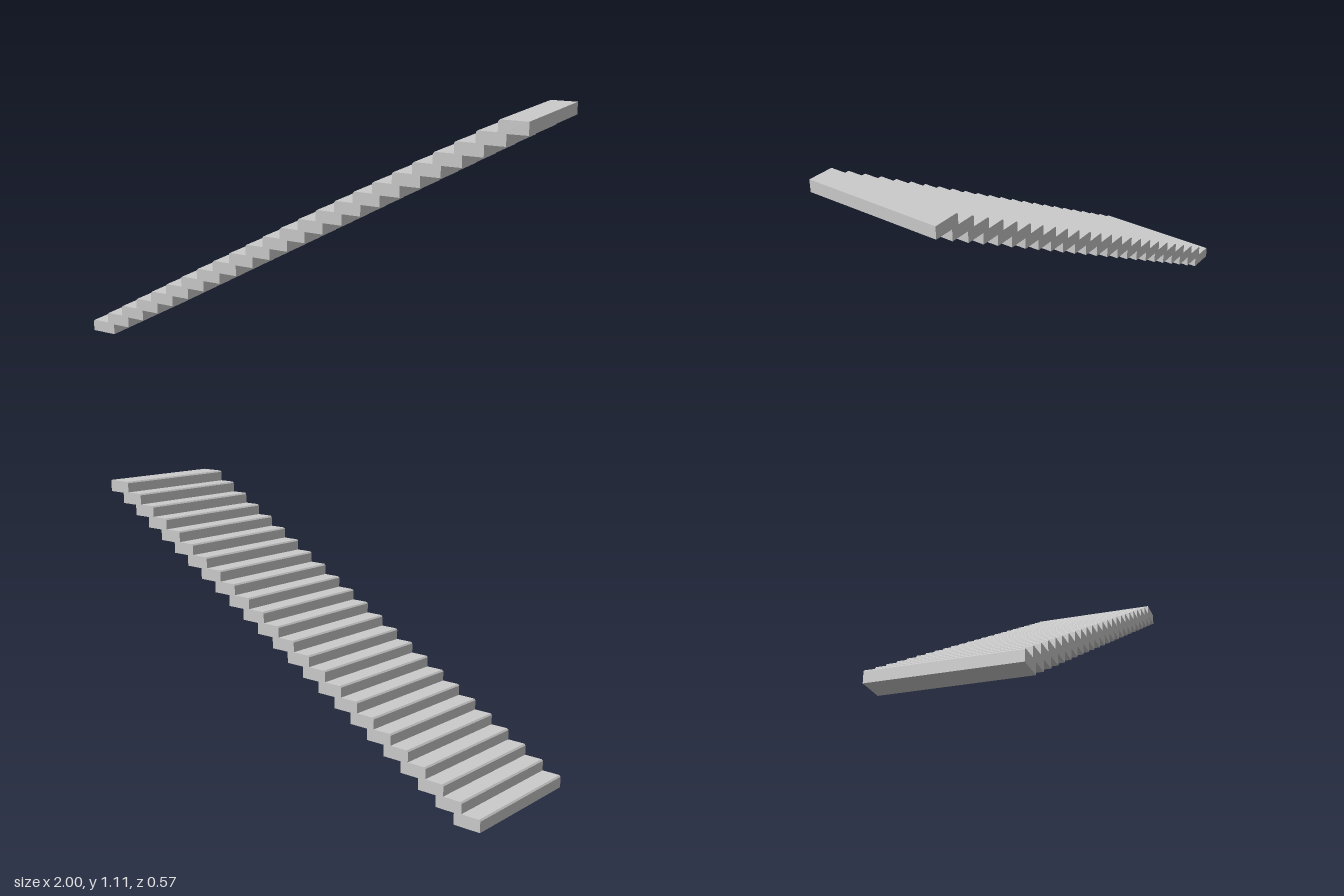
import * as THREE from 'three';

const STEPS = 24;
const WIDTH = 0.57;      // along z
const DEPTH = 0.115;     // length of one step block along x
const THICK = 0.05;      // height of one step block
const HEIGHT = 1.105;    // whole flight
const NOSE = 0.006;      // small bevel on the nosing
const RUN = (2 - DEPTH) / (STEPS - 1);
const RISE = (HEIGHT - THICK) / (STEPS - 1);

// Side outline of one step, with a bevelled front edge
function stepGeometry() {
  const outline = new THREE.Shape([
    new THREE.Vector2(0, 0),
    new THREE.Vector2(DEPTH, 0),
    new THREE.Vector2(DEPTH, THICK),
    new THREE.Vector2(NOSE, THICK),
    new THREE.Vector2(0, THICK - NOSE),
  ]);
  const geometry = new THREE.ExtrudeGeometry(outline, { depth: WIDTH, bevelEnabled: false });
  return geometry.translate(0, 0, -WIDTH / 2);
}

export function createModel() {
  const stairs = new THREE.Group();
  stairs.name = 'staircase';
  const material = new THREE.MeshStandardMaterial({ color: 0xcccccc, flatShading: true });
  const geometry = stepGeometry();

  // Overlapping blocks climbing towards +x
  for (let i = 0; i < STEPS; i++) {
    const step = new THREE.Mesh(geometry, material);
    step.name = `step${i + 1}`;
    step.position.set(-1 + i * RUN, i * RISE, 0);
    stairs.add(step);
  }
  return stairs;
}
